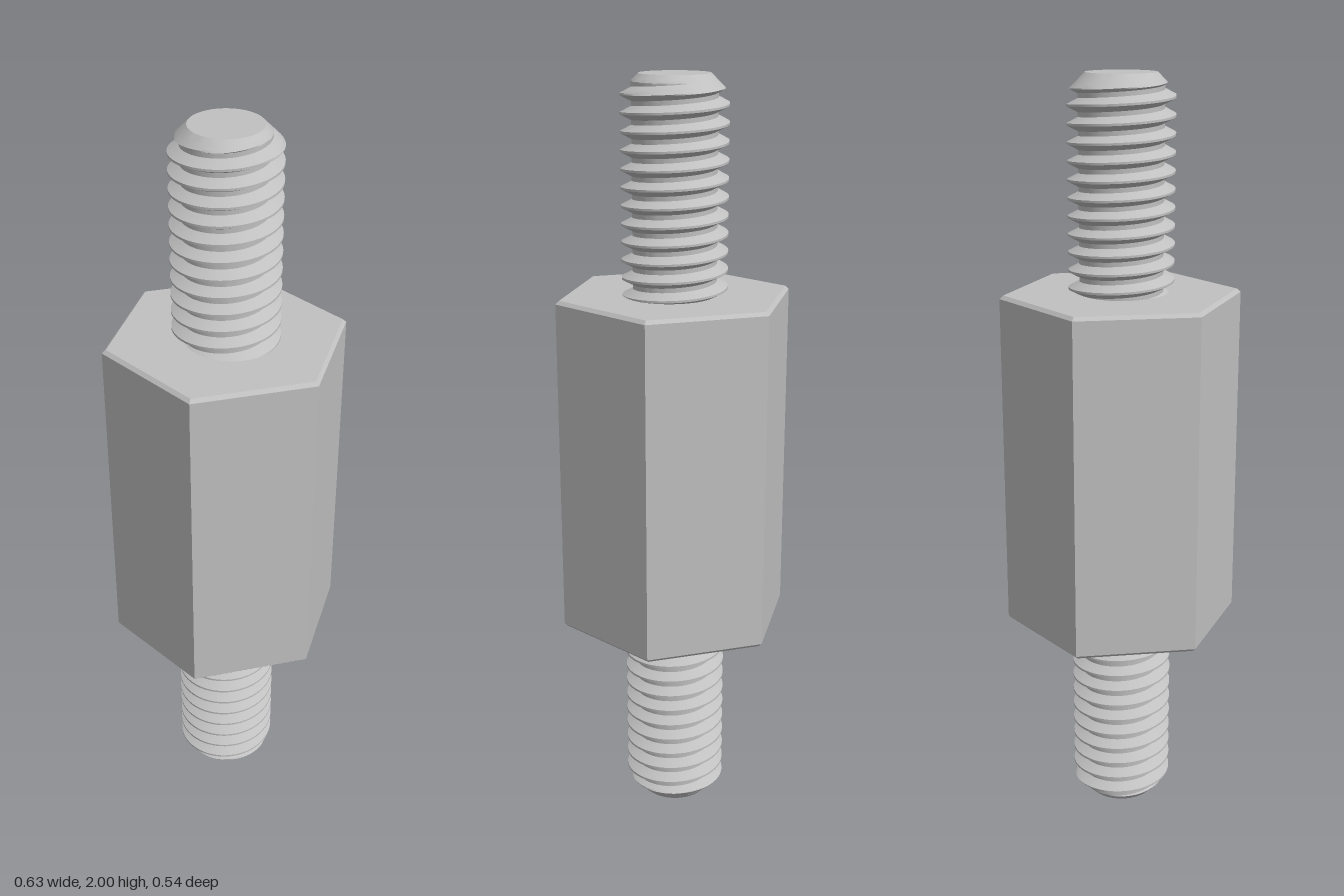
import * as THREE from 'three';
import { toCreasedNormals } from 'three/addons/utils/BufferGeometryUtils.js';

const PITCH = 0.0455, CREST = 0.136, ROOT = 0.108, TIP = 0.09;
const TOP = 2, BASE = 1.4; // the base of a stud is buried in the hex body

// Right-hand thread: a sheet whose rows follow the helix, cut by a 45 degree tip chamfer
function threadGeometry() {
  const segs = 64, perTurn = 16, first = -14 * perTurn, last = perTurn;
  const rows = last - first + 1;
  const positions = [], index = [];
  for (let i = 0; i <= segs; i++) {
    const a = (i / segs) * Math.PI * 2;
    for (let k = first; k <= last; k++) {
      const m = ((k % perTurn) + perTurn) % perTurn;
      const fromCrest = Math.min(m, perTurn - m);
      const depth = THREE.MathUtils.clamp((fromCrest - 1) / 5, 0, 1);
      const y = THREE.MathUtils.clamp(1.986 + PITCH * (i / segs + k / perTurn), BASE, TOP);
      const r = Math.min(CREST - (CREST - ROOT) * depth, TIP + TOP - y);
      positions.push(r * Math.sin(a), y, r * Math.cos(a));
    }
  }
  for (let i = 0; i < segs; i++) {
    for (let j = 0; j < rows - 1; j++) {
      const p = i * rows + j, q = p + rows;
      index.push(p, q, p + 1, q + 1, p + 1, q);
    }
  }
  const geo = new THREE.BufferGeometry();
  geo.setAttribute('position', new THREE.Float32BufferAttribute(positions, 3));
  geo.setIndex(index);
  return toCreasedNormals(geo, 0.5);
}

export function createModel() {
  const model = new THREE.Group();
  model.name = 'threadedStandoff';
  const steel = new THREE.MeshStandardMaterial({ color: 0xc0c0c0 });
  steel.name = 'steel grey';

  // Hex body with small chamfers, corners pointing along x
  const profile = [[0, 0.547], [0.304, 0.547], [0.314, 0.556], [0.314, 1.444], [0.304, 1.453], [0, 1.453]]
    .map(([x, y]) => new THREE.Vector2(x, y));
  const hex = new THREE.LatheGeometry(profile, 6, Math.PI / 6).toNonIndexed();
  hex.computeVertexNormals();
  const body = new THREE.Mesh(hex, steel);
  body.name = 'hexBody';
  model.add(body);

  // Two identical studs; the lower is the upper turned half a turn about the body's middle
  const thread = threadGeometry();
  const cap = new THREE.CircleGeometry(TIP, 64).rotateX(-Math.PI / 2).translate(0, TOP, 0);
  for (const name of ['upperStud', 'lowerStud']) {
    const stud = new THREE.Group();
    stud.name = name;
    const threadMesh = new THREE.Mesh(thread, steel);
    threadMesh.name = 'thread';
    const capMesh = new THREE.Mesh(cap, steel);
    capMesh.name = 'tipFace';
    stud.add(threadMesh, capMesh);
    if (name === 'lowerStud') {
      stud.rotation.z = Math.PI;
      stud.position.y = 2;
    }
    model.add(stud);
  }
  return model;
}
